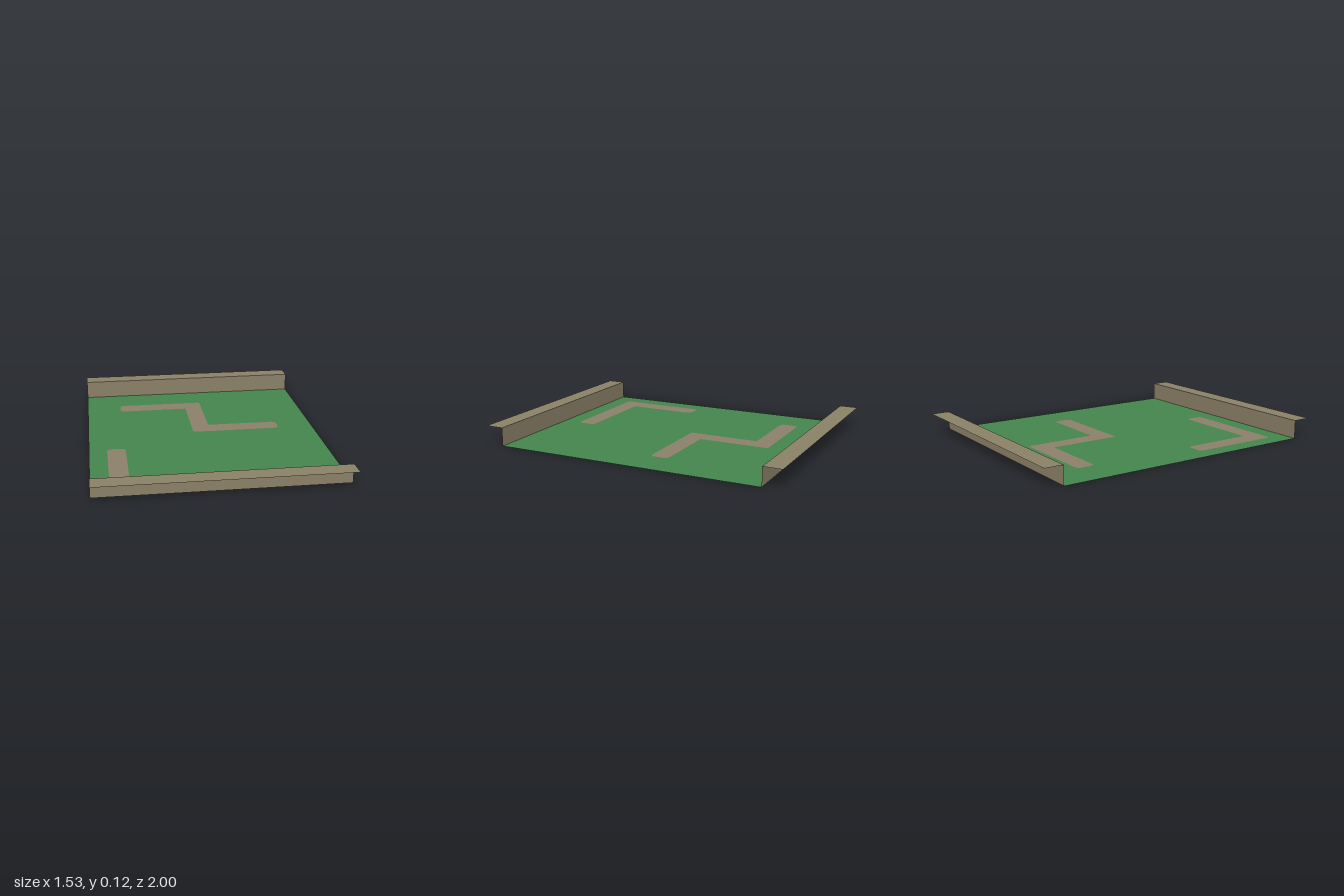
import * as THREE from 'three';

const material = (name, color) => {
  const m = new THREE.MeshStandardMaterial({ color, side: THREE.DoubleSide });
  m.name = name;
  return m;
};

// Closed outline from [x, z, cornerRadius] points; shape y is -z
function roundedOutline(Type, points) {
  const path = new Type();
  const n = points.length;
  const at = (i) => new THREE.Vector2(points[(i + n) % n][0], -points[(i + n) % n][1]);
  for (let i = 0; i < n; i++) {
    const p = at(i), r = points[i][2];
    const toward = (q) => q.sub(p).setLength(r).add(p);
    const a = toward(at(i - 1)), b = toward(at(i + 1));
    if (i === 0) path.moveTo(a.x, a.y); else path.lineTo(a.x, a.y);
    path.quadraticCurveTo(p.x, p.y, b.x, b.y);
  }
  path.closePath();
  return path;
}

export function createModel() {
  const model = new THREE.Group();
  model.name = 'coursePanel';
  const green = material('green floor', 0x44864e);
  const tan = material('tan rail', 0x8b8168);
  const brown = material('brown path', 0x8c806b);

  const W = 1.53, Z = 0.88, H = 0.12, FLANGE = 0.12;
  const E = 0.035, C = 0.02, I = 0.01; // end, outer and inner corner radii

  const add = (name, geometry, mat, parent = model) => {
    const mesh = new THREE.Mesh(geometry, mat);
    mesh.name = name;
    parent.add(mesh);
    return mesh;
  };
  const flat = (shape) => new THREE.ShapeGeometry(shape, 5).rotateX(-Math.PI / 2);

  // Path outlines: a zigzag at the back and an L at the front
  const outlines = {
    zigzagPath: [
      [-0.53, -0.65, E], [0.057, -0.65, C], [0.057, -0.18, I], [0.53, -0.18, E],
      [0.53, -0.06, E], [-0.06, -0.06, C], [-0.06, -0.53, I], [-0.53, -0.53, E],
    ],
    cornerPath: [
      [-0.65, 0.175, E], [-0.53, 0.175, E], [-0.53, 0.645, I], [0.057, 0.645, E],
      [0.057, 0.765, E], [-0.65, 0.765, C],
    ],
  };

  // Floor sheet with the paths inlaid, seen from both sides
  const floor = roundedOutline(THREE.Shape, [
    [-W / 2, -Z, 0], [W / 2, -Z, 0], [W / 2, Z, 0], [-W / 2, Z, 0],
  ]);
  for (const [name, points] of Object.entries(outlines)) {
    floor.holes.push(roundedOutline(THREE.Path, points));
    add(name, flat(roundedOutline(THREE.Shape, points)), brown);
  }
  add('floor', flat(floor), green);

  // Rails: an upright sheet with a flange turned outward at the top
  for (const [name, side] of [['frontRail', 1], ['backRail', -1]]) {
    const rail = new THREE.Group();
    rail.name = name;
    add('upright', new THREE.PlaneGeometry(W, H), tan, rail).position.set(0, H / 2, side * Z);
    add('flange', new THREE.PlaneGeometry(W, FLANGE).rotateX(-Math.PI / 2), tan, rail)
      .position.set(0, H, side * (Z + FLANGE / 2));
    model.add(rail);
  }
  return model;
}
